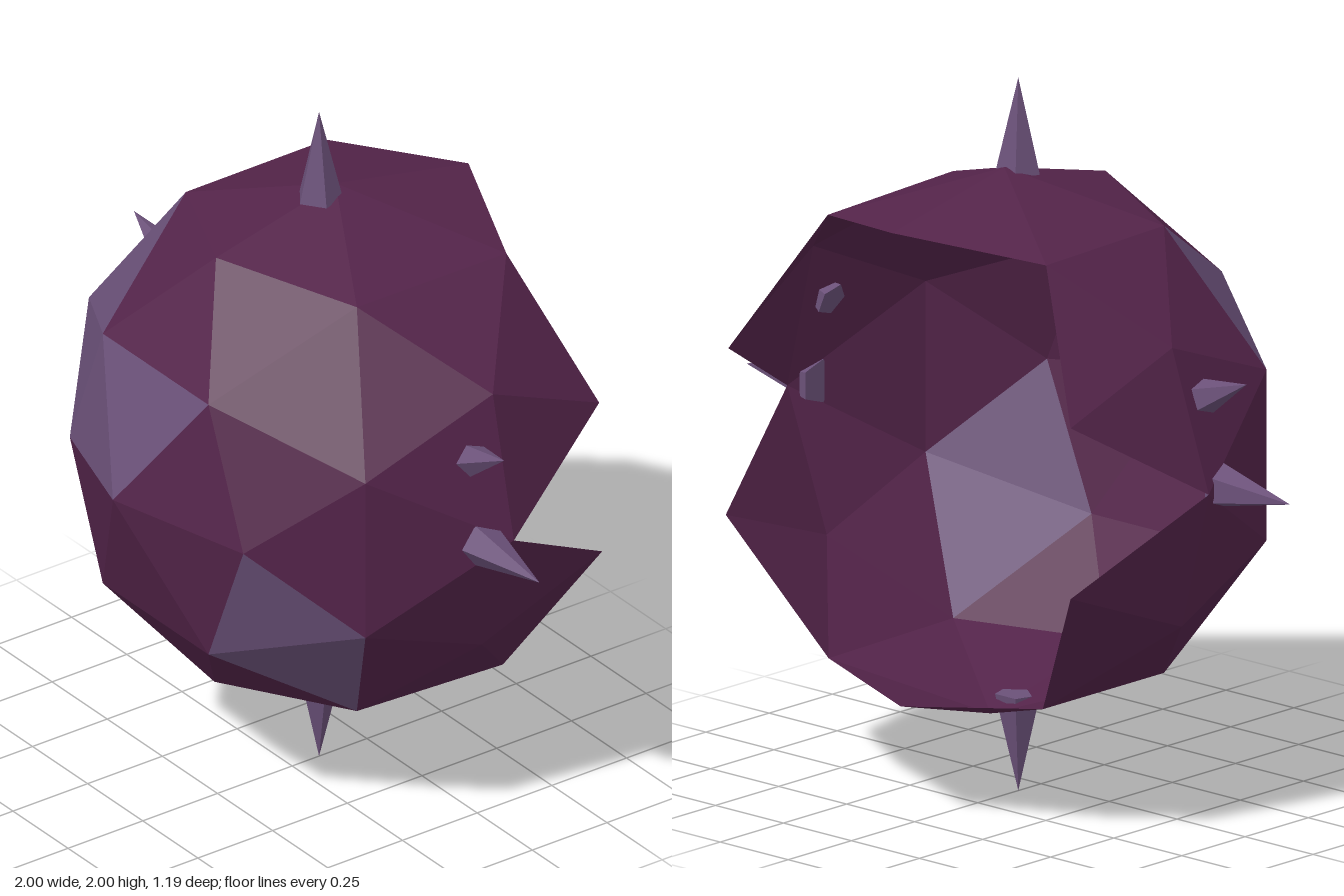
import * as THREE from 'three';

const R = 0.775;
const CENTRE = new THREE.Vector3(0, 1, -0.17);

// Hand-bent corners of the shell (relative to its centre); the nearest corner moves here
const BENT = [
  [0, 0.03, 0.77], [0, 0.76, 0.025], [0, -0.76, -0.03],
  [0, 0.665, 0.425], [0, 0.67, -0.42], [0, -0.65, 0.43], [0, -0.665, -0.385],
  [0.415, 0.01, 0.64], [-0.385, 0, 0.63],
  [0.68, 0.41, 0], [-0.64, 0.385, 0], [0.63, -0.39, 0], [-0.675, -0.39, 0],
  [0.375, 0.615, -0.27], [-0.4, 0.62, -0.24], [0.4, -0.64, -0.24],
  [0.62, 0.22, -0.4], [0.62, -0.245, -0.41],
].map((p) => new THREE.Vector3(...p));

// Directions (unit sphere) of the facets painted in the lighter colour
const PATCHES = [
  [-0.54, 0.54, 0.54], [-0.55, 0.27, 0.72], [-0.28, 0.17, 0.89], [0, 0.33, 0.87],
  [0.55, -0.27, 0.72], [0.54, -0.54, 0.54],
].map((p) => new THREE.Vector3(...p));

function facets(triangles) {
  const g = new THREE.BufferGeometry().setFromPoints(triangles.flat());
  g.computeVertexNormals();
  return g;
}

// Faceted ball, open at the back, split into body and patch facets
function shellFacets() {
  const pos = new THREE.IcosahedronGeometry(R, 1).rotateY(Math.PI / 2).toNonIndexed
    ? new THREE.IcosahedronGeometry(R, 1).rotateY(Math.PI / 2).getAttribute('position') : null;
  const body = [], patch = [];
  for (let i = 0; i < pos.count; i += 3) {
    const tri = [0, 1, 2].map((k) => new THREE.Vector3().fromBufferAttribute(pos, i + k));
    const mid = new THREE.Vector3().add(tri[0]).add(tri[1]).add(tri[2]).divideScalar(3 * R);
    if (mid.z < -0.3) continue; // the opening
    const bent = tri.map((v) => (BENT.find((b) => b.distanceTo(v) < 0.12) || v).clone().add(CENTRE));
    (PATCHES.some((p) => p.distanceTo(mid) < 0.08) ? patch : body).push(bent);
  }
  return { body, patch };
}

// Five-sided cone running from its base centre to its tip
function spike(name, base, tip, radius, material) {
  const a = new THREE.Vector3(...base), b = new THREE.Vector3(...tip);
  const dir = b.clone().sub(a);
  const mesh = new THREE.Mesh(new THREE.ConeGeometry(radius, dir.length(), 5), material);
  mesh.position.copy(a).add(b).multiplyScalar(0.5);
  mesh.quaternion.setFromUnitVectors(new THREE.Vector3(0, 1, 0), dir.normalize());
  mesh.name = name;
  return mesh;
}

export function createModel() {
  const model = new THREE.Group();
  model.name = 'spikedShell';

  const plum = new THREE.MeshStandardMaterial({ color: 0x54244a, flatShading: true, side: THREE.DoubleSide });
  plum.name = 'plum';
  const lilac = new THREE.MeshStandardMaterial({ color: 0x6b5179, flatShading: true, side: THREE.DoubleSide });
  lilac.name = 'lilac';

  // Shell
  const { body, patch } = shellFacets();
  const shell = new THREE.Mesh(facets(body), plum);
  shell.name = 'shell';
  const patches = new THREE.Mesh(facets(patch), lilac);
  patches.name = 'shellPatches';
  model.add(shell, patches);

  // Spikes, all in one upright plane
  const z = -0.09;
  model.add(spike('topSpike', [0, 1.735, z], [0, 2, z], 0.064, lilac));
  model.add(spike('bottomSpike', [0, 0.275, z], [0, 0, z], 0.064, lilac));
  for (const [side, s] of [['left', 1], ['right', -1]]) {
    model.add(spike(side + 'Spike', [0.735 * s, 1, z], [s, 1, z], 0.064, lilac));
    model.add(spike(side + 'UpperSpike', [0.685 * s, 1.24, z], [0.84 * s, 1.305, z], 0.05, lilac));
  }
  return model;
}
